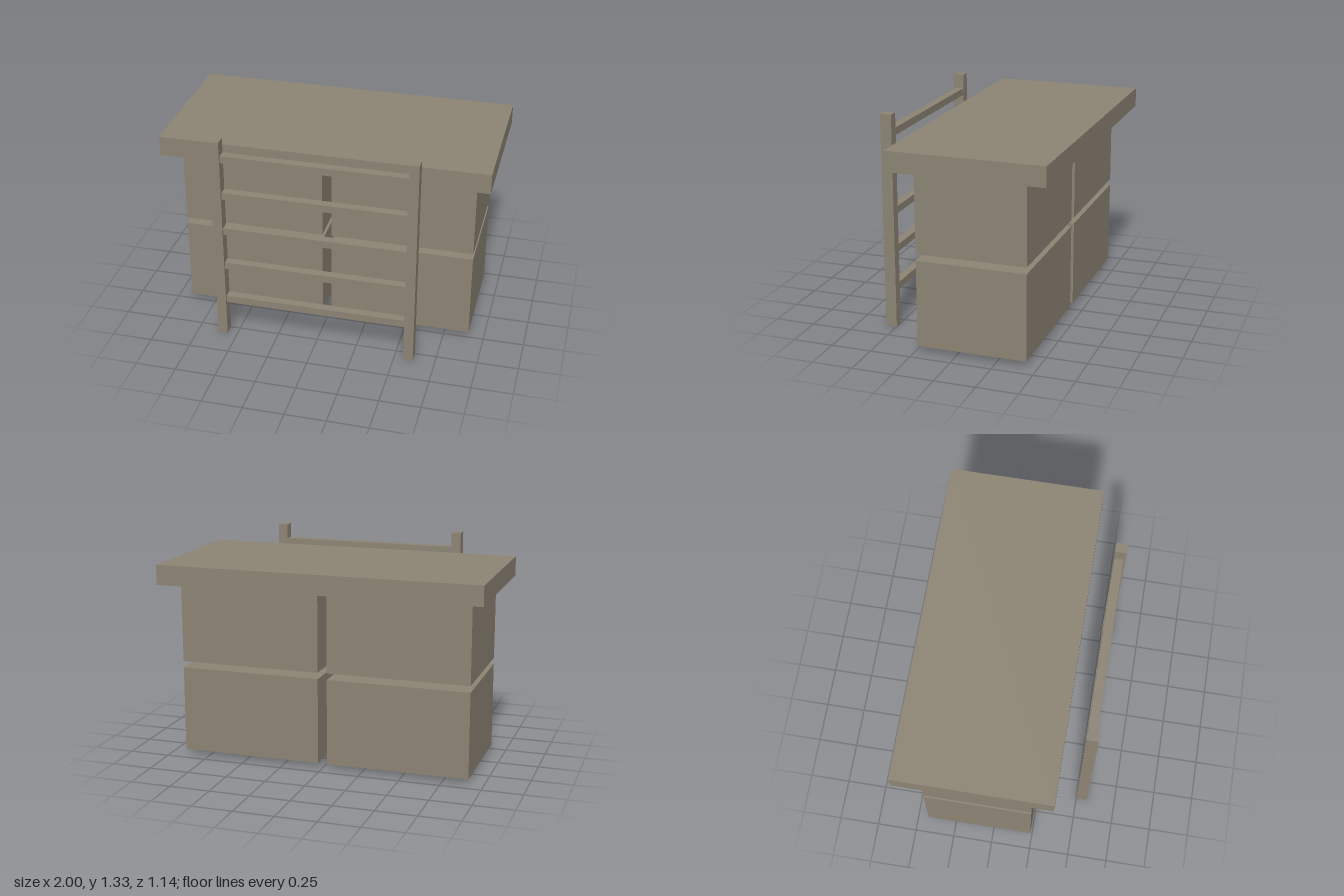
import * as THREE from 'three';

export function createModel() {
  const model = new THREE.Group();
  const wood = new THREE.MeshStandardMaterial({ color: 0x8c8474 });
  wood.name = 'grey brown wood';

  // Box given by its extents on each axis
  function block(name, [x0, x1], [y0, y1], [z0, z1], parent = model) {
    const mesh = new THREE.Mesh(new THREE.BoxGeometry(x1 - x0, y1 - y0, z1 - z0), wood);
    mesh.position.set((x0 + x1) / 2, (y0 + y1) / 2, (z0 + z1) / 2);
    mesh.name = name;
    parent.add(mesh);
  }

  // Overhanging slab
  block('topSlab', [-1, 1], [1.105, 1.227], [-0.57, 0.38]);

  // Four crates in two stacks, separated by narrow gaps
  const crates = new THREE.Group();
  crates.name = 'crates';
  model.add(crates);
  for (const [side, xs] of [['left', [0.027, 0.905]], ['right', [-0.908, -0.03]]]) {
    block(side + 'LowerCrate', xs, [0.03, 0.562], [-0.43, 0.24], crates);
    block(side + 'UpperCrate', xs, [0.602, 1.105], [-0.43, 0.24], crates);
  }

  // Free-standing ladder in front
  const ladder = new THREE.Group();
  ladder.name = 'ladder';
  model.add(ladder);
  block('leftPost', [0.557, 0.617], [0, 1.333], [0.5, 0.57], ladder);
  block('rightPost', [-0.62, -0.56], [0, 1.333], [0.5, 0.57], ladder);
  for (let i = 0; i < 5; i++) {
    const y = 0.248 + i * 0.2425;
    block('rung' + (i + 1), [-0.56, 0.557], [y - 0.0225, y + 0.0225], [0.503, 0.556], ladder);
  }
  return model;
}
